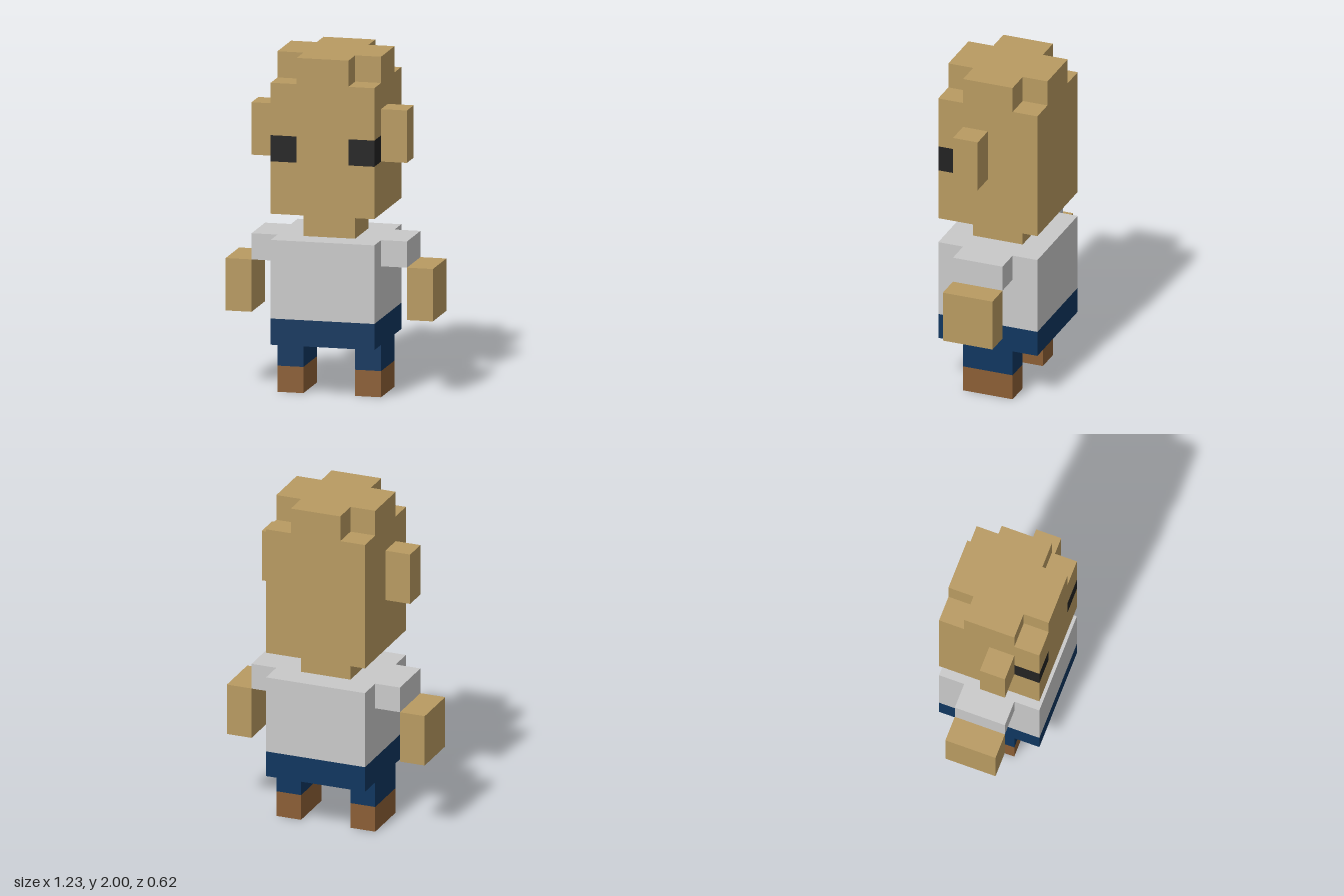
import * as THREE from 'three';

// Everything sits on a cube grid, 13 cubes tall
const U = 2 / 13;

function material(name, color) {
  const m = new THREE.MeshStandardMaterial({ color });
  m.name = name;
  return m;
}

export function createModel() {
  const model = new THREE.Group();
  model.name = 'blockFigure';

  const skin = material('skin', 0xb89a61);
  const shirt = material('shirt', 0xc9c9c9);
  const trousers = material('trousers', 0x0f365f);
  const shoes = material('shoes', 0x8b5e35);
  const eyes = material('eyes', 0x222222);

  function add(name, geometry, mat, parent = model) {
    const mesh = new THREE.Mesh(geometry, mat);
    mesh.name = name;
    parent.add(mesh);
    return mesh;
  }

  // Box between two grid positions on each axis
  function block(name, mat, [x0, x1], [y0, y1], [z0, z1], parent) {
    const g = new THREE.BoxGeometry((x1 - x0) * U, (y1 - y0) * U, (z1 - z0) * U);
    g.translate((x0 + x1) / 2 * U, (y0 + y1) / 2 * U, (z0 + z1) / 2 * U);
    return add(name, g, mat, parent);
  }

  // Upright prism from an outline of [x, z] grid points
  function prism(name, mat, outline, [y0, y1], parent) {
    const shape = new THREE.Shape(outline.map(([x, z]) => new THREE.Vector2(x * U, -z * U)));
    const g = new THREE.ExtrudeGeometry(shape, { depth: (y1 - y0) * U, bevelEnabled: false });
    g.rotateX(-Math.PI / 2);
    g.translate(0, y0 * U, 0);
    return add(name, g, mat, parent);
  }

  // Body
  block('hips', trousers, [-2, 2], [2, 3], [-2, 2]);
  block('torso', shirt, [-2, 2], [3, 6], [-2, 2]);
  block('neck', skin, [-1, 1], [6, 7], [-1, 1]);

  // Head, with notches for the eyes and a crown with cut corners
  const head = new THREE.Group();
  head.name = 'head';
  model.add(head);
  block('lowerFace', skin, [-2, 2], [7, 9], [-2, 2], head);
  prism('eyeBand', skin,
    [[-2, -2], [2, -2], [2, 1], [1, 1], [1, 2], [-1, 2], [-1, 1], [-2, 1]], [9, 10], head);
  block('forehead', skin, [-2, 2], [10, 12], [-2, 2], head);
  prism('crown', skin,
    [[-1, -2], [1, -2], [1, -1], [2, -1], [2, 1], [1, 1],
      [1, 2], [-1, 2], [-1, 1], [-2, 1], [-2, -1], [-1, -1]], [12, 13], head);

  // Paired parts, mirrored across the middle
  for (const [side, s] of [['left', 1], ['right', -1]]) {
    const span = (a, b) => (s > 0 ? [a, b] : [-b, -a]);
    block(side + 'Eye', eyes, span(1, 2), [9, 10], [1, 2], head);
    block(side + 'Ear', skin, span(2, 3), [9, 11], [0, 1], head);
    block(side + 'Sleeve', shirt, span(2, 3), [5, 6], [-1, 1]);
    block(side + 'Arm', skin, span(3, 4), [3, 5], [-1, 1]);
    block(side + 'Leg', trousers, span(1, 2), [1, 2], [-1, 1]);
    block(side + 'Shoe', shoes, span(1, 2), [0, 1], [-1, 1]);
  }

  return model;
}
